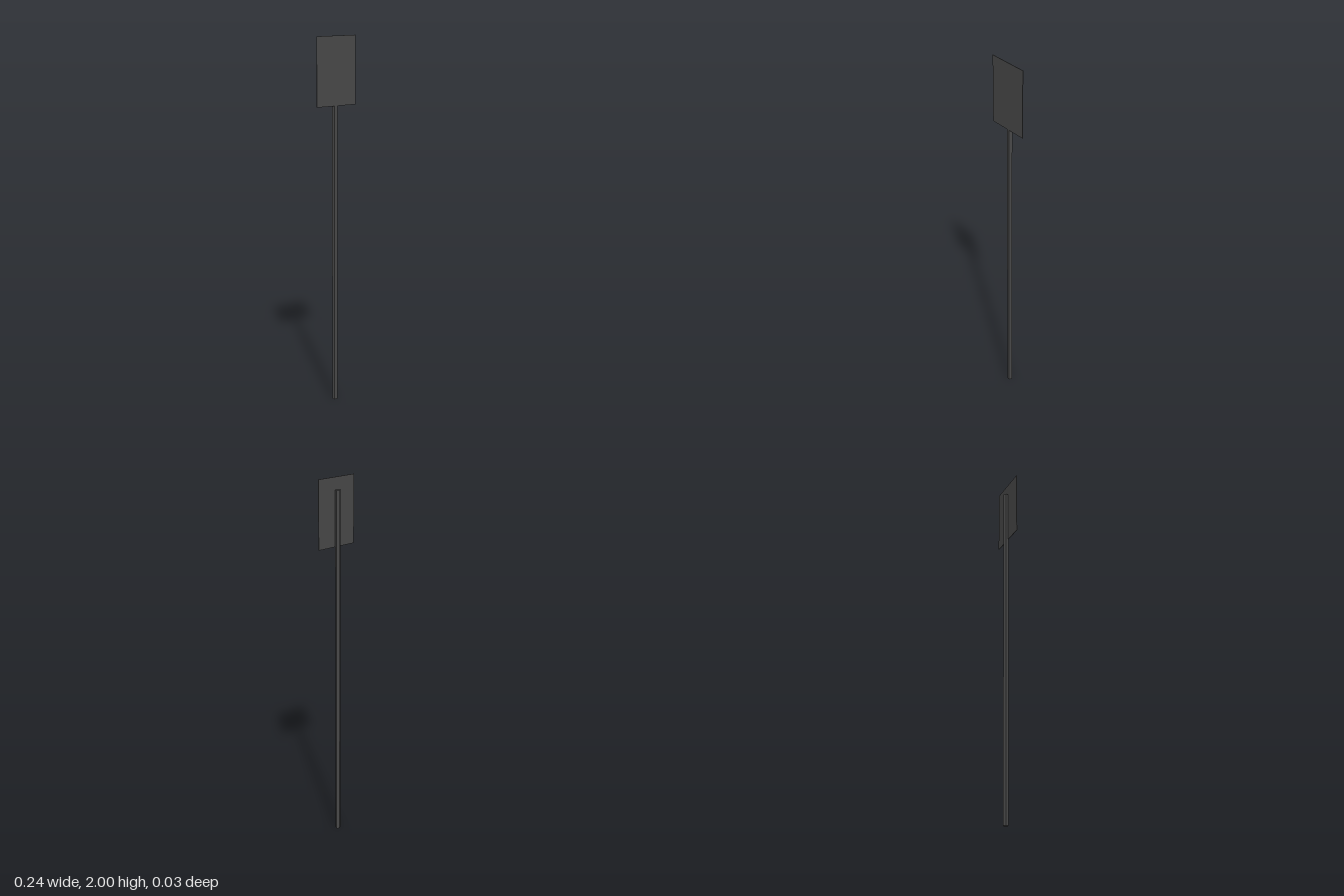
import * as THREE from 'three';

export function createModel() {
  const model = new THREE.Group();
  model.name = 'signPost';
  const material = new THREE.MeshStandardMaterial({ color: 0x484848, flatShading: true });

  const add = (name, geometry, x, y, z) => {
    const mesh = new THREE.Mesh(geometry, material);
    mesh.name = name;
    mesh.position.set(x, y, z);
    model.add(mesh);
  };

  // Five-sided pole, flat side to the front and a corner to the back
  const poleHeight = 1.935;
  const radius = 0.0145;
  add('pole', new THREE.CylinderGeometry(radius, radius, poleHeight, 5, 1, false, Math.PI), 0, poleHeight / 2, 0);

  // Thin rectangular panel fixed to the flat front of the pole
  const bottom = 1.64, top = 2, thickness = 0.003;
  add('signPanel', new THREE.BoxGeometry(0.24, top - bottom, thickness), 0, (top + bottom) / 2, radius - thickness / 2);

  return model;
}
